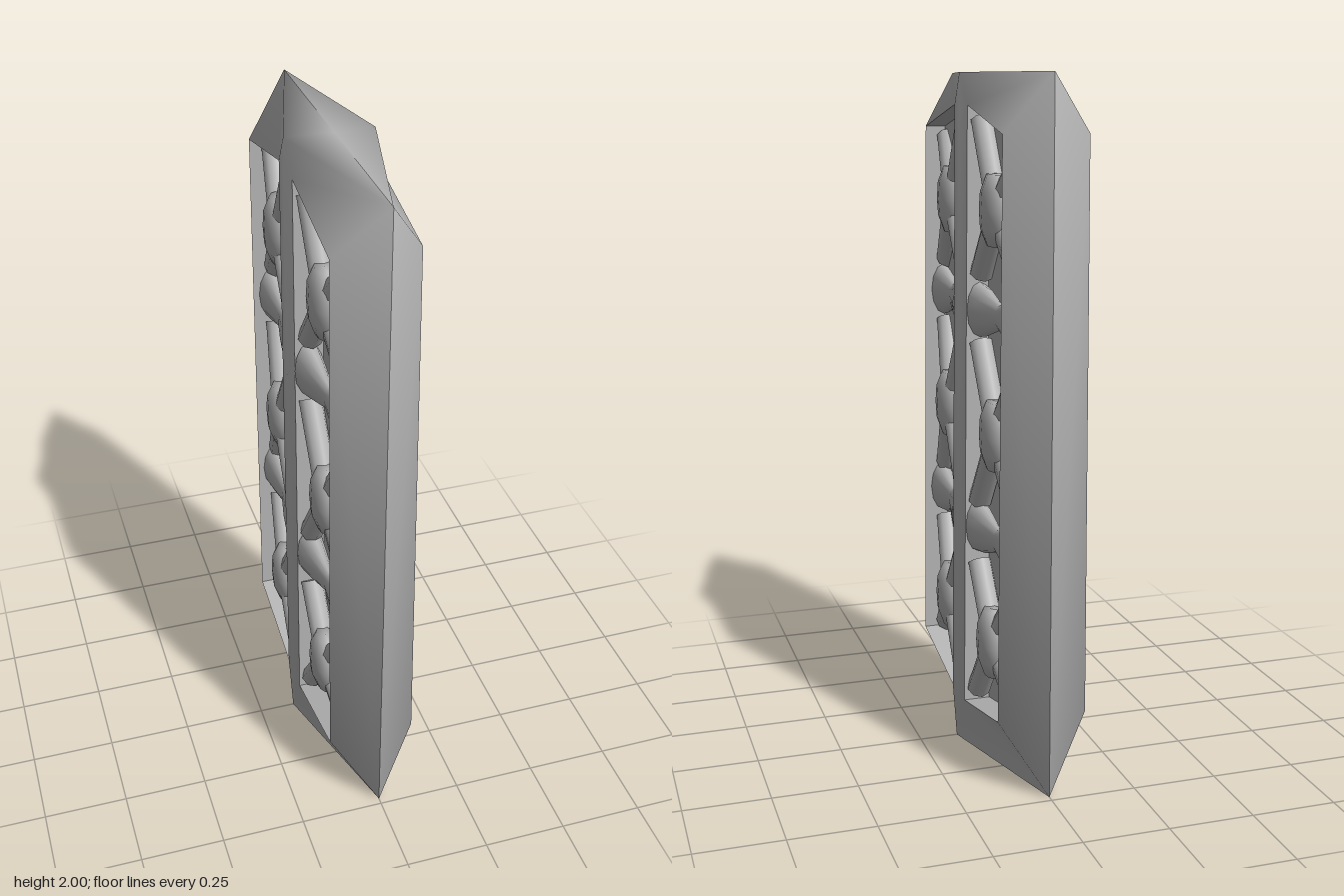
import * as THREE from 'three';
import { toCreasedNormals } from 'three/addons/utils/BufferGeometryUtils.js';

const grey = new THREE.MeshStandardMaterial({ color: 0xb4b4b4 });
grey.name = 'stoneGrey';

const mesh = (name, geometry) => {
  const m = new THREE.Mesh(geometry, grey);
  m.name = name;
  return m;
};

// Polygons are written for the +x, +z quarter; sx picks the side, z is mirrored.
function halfShell(polygons, sx, crease) {
  const positions = [];
  for (const sz of [1, -1]) {
    for (const polygon of polygons) {
      for (let i = 1; i < polygon.length - 1; i++) {
        const tri = [polygon[0], polygon[i], polygon[i + 1]];
        if (sx * sz < 0) tri.reverse();
        for (const [x, y, z] of tri) positions.push(x * sx, y, z * sz);
      }
    }
  }
  const g = new THREE.BufferGeometry();
  g.setAttribute('position', new THREE.Float32BufferAttribute(positions, 3));
  return toCreasedNormals(g, crease);
}

// Round brace between two points
function strut(a, b) {
  const dir = new THREE.Vector3().subVectors(b, a);
  const m = mesh('diagonalBrace', new THREE.CylinderGeometry(0.035, 0.035, dir.length(), 8));
  m.position.addVectors(a, b).multiplyScalar(0.5);
  m.quaternion.setFromUnitVectors(new THREE.Vector3(0, 1, 0), dir.normalize());
  return m;
}

// Lattice nodes with the four brace ends of each bay, as [z, y]
const bays = [
  { node: [0.22, 1.63], ends: [[0.385, 1.81], [0.075, 1.87], [0.385, 1.43], [0.075, 1.44]] },
  { node: [0.235, 1.0], ends: [[0.385, 1.24], [0.075, 1.24], [0.385, 0.77], [0.075, 0.77]] },
  { node: [0.222, 0.38], ends: [[0.385, 0.59], [0.075, 0.58], [0.385, 0.23], [0.075, 0.18]] },
];

const lathe = (profile) =>
  new THREE.LatheGeometry(profile.map(([r, y]) => new THREE.Vector2(r, y)), 12);
const nodeShape = lathe([
  [0, -0.1], [0.045, -0.098], [0.074, -0.05], [0.079, 0], [0.074, 0.05], [0.045, 0.098], [0, 0.1],
]);
const barShape = lathe([[0.085, -0.165], [0.07, -0.11], [0.036, 0], [0.07, 0.11], [0.08, 0.165]]);

// One broad face; bottomX and topX are the distances of its openings' rims from the middle
function createSide(sx, name, bottomX, topX) {
  const side = new THREE.Group();
  side.name = name;
  const faceX = (y) => bottomX + (topX - bottomX) * y / 2;

  // Key points: outer ridge, centre post ridge, opening corners
  const ridgeB = [0, 0, 0.48], ridgeT = [0, 2, 0.48];
  const postB = [bottomX + 0.005, 0, 0], postT = [topX + 0.005, 2, 0];
  const opening = [[0.21, 0.4], [0.14, 0.065], [1.91, 0.065], [1.84, 0.39]]
    .map(([y, z]) => [faceX(y), y, z]);
  const [outB, inB, inT, outT] = opening;
  const recess = opening.map(([, y, z]) => [0.05, y, z]);

  // Bevelled stiles, rails, post and top, softly shaded together
  side.add(mesh('frame', halfShell([
    [ridgeB, outB, outT, ridgeT],
    [ridgeT, outT, inT, postT],
    [ridgeB, postB, inB, outB],
    [inB, postB, postT, inT],
    [[0, 2, 0], ridgeT, postT],
  ], sx, 1.7)));

  // Openings with their recessed back panels
  const walls = opening.map((a, i) => {
    const j = (i + 1) % 4;
    return [a, opening[j], recess[j], recess[i]];
  });
  side.add(mesh('openingWalls', halfShell(walls, sx, 0.3)));
  side.add(mesh('backPanels', halfShell([recess], sx, 0.3)));

  // Base with a shallow hollow
  const rimX = [0.085, 0, 0], rimZ = [0, 0, 0.32];
  const floorX = [0.085, 0.08, 0], floorZ = [0, 0.08, 0.32];
  side.add(mesh('base', halfShell([
    [rimX, postB, ridgeB, rimZ],
    [rimZ, floorZ, floorX, rimX],
    [[0, 0.08, 0], floorX, floorZ],
  ], sx, 0.3)));

  for (const sz of [1, -1]) {
    const lattice = new THREE.Group();
    lattice.name = sz > 0 ? 'frontLattice' : 'backLattice';
    const at = ([z, y], depth) => new THREE.Vector3((faceX(y) - depth) * sx, y, z * sz);

    // Braces meet at a swollen node and sink inward beside the outer stile
    for (const { node, ends } of bays) {
      const knot = mesh('latticeNode', nodeShape);
      knot.position.copy(at(node, 0.04));
      knot.scale.x = 0.58;
      lattice.add(knot);
      for (const end of ends) {
        lattice.add(strut(at(node, 0.045), at(end, end[0] > 0.2 ? 0.07 : 0.042)));
      }
    }

    // Waisted crossbars, also sinking toward the outer stile
    for (const y of [1.335, 0.69]) {
      const bar = mesh('crossbar', barShape);
      bar.position.copy(at([0.232, y], 0.05));
      bar.rotation.set(Math.PI / 2, 0, sx * sz * 0.06);
      bar.scale.x = 0.5;
      lattice.add(bar);
    }
    side.add(lattice);
  }
  return side;
}

export function createModel() {
  const group = new THREE.Group();
  group.name = 'latticePanel';
  group.add(createSide(1, 'leftSide', 0.13, 0.11));
  group.add(createSide(-1, 'rightSide', 0.135, 0.132));
  return group;
}
